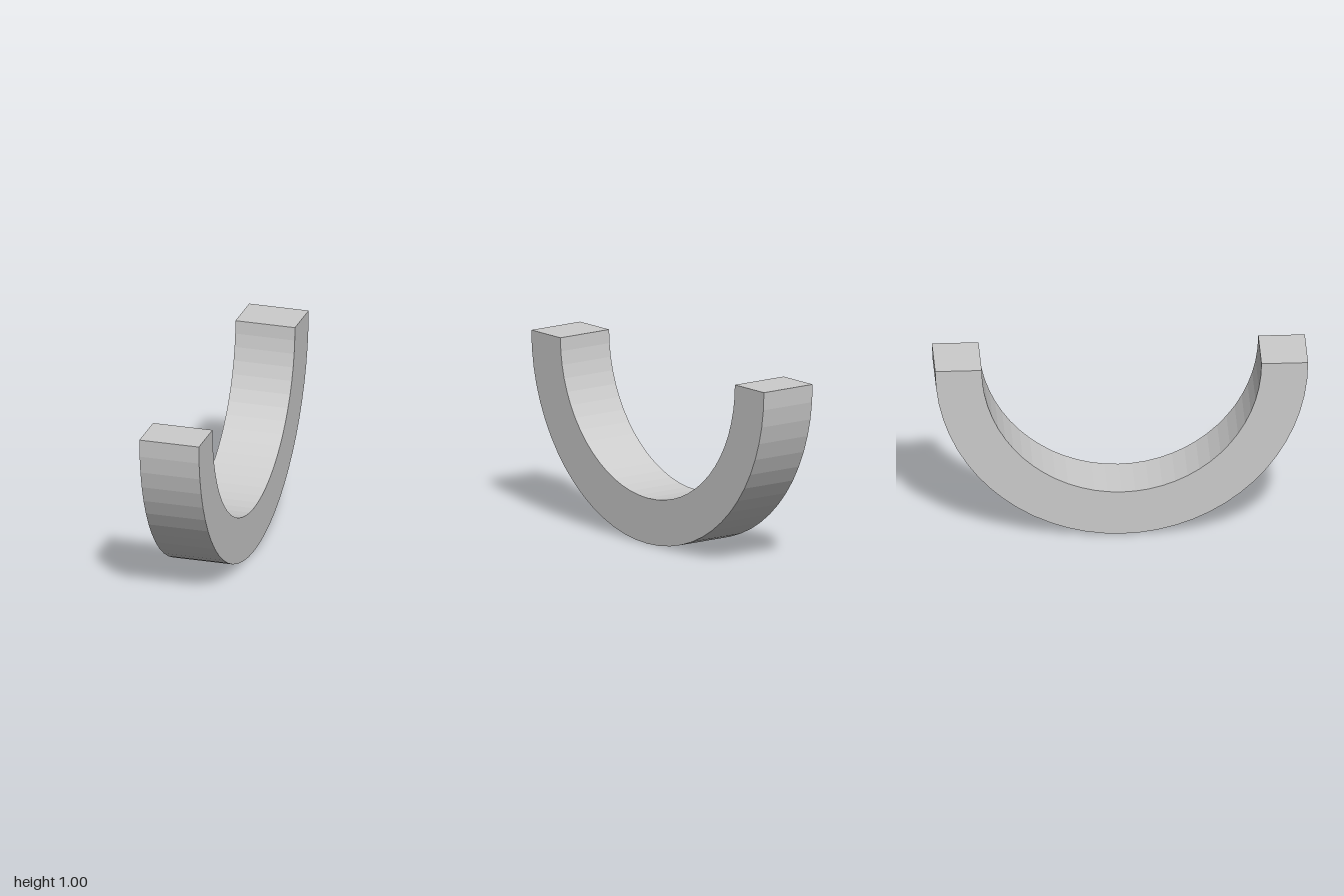
import * as THREE from 'three';

export function createModel() {
  const group = new THREE.Group();
  const outer = 1, inner = 0.75, width = 1 / 3;

  // Half-ring profile, open at the top
  const profile = new THREE.Shape();
  profile.absarc(0, outer, outer, Math.PI, Math.PI * 2, false);
  profile.absarc(0, outer, inner, Math.PI * 2, Math.PI, true);
  profile.closePath();

  // An arc gets twice curveSegments, so 32 facets each
  const geometry = new THREE.ExtrudeGeometry(profile, {
    depth: width, curveSegments: 16, bevelEnabled: false,
  });
  geometry.translate(0, 0, -width / 2);
  geometry.rotateY(Math.PI / 2);

  const arch = new THREE.Mesh(
    geometry,
    new THREE.MeshStandardMaterial({ color: 0xcccccc, flatShading: true }),
  );
  arch.name = 'halfRing';
  group.add(arch);
  return group;
}
